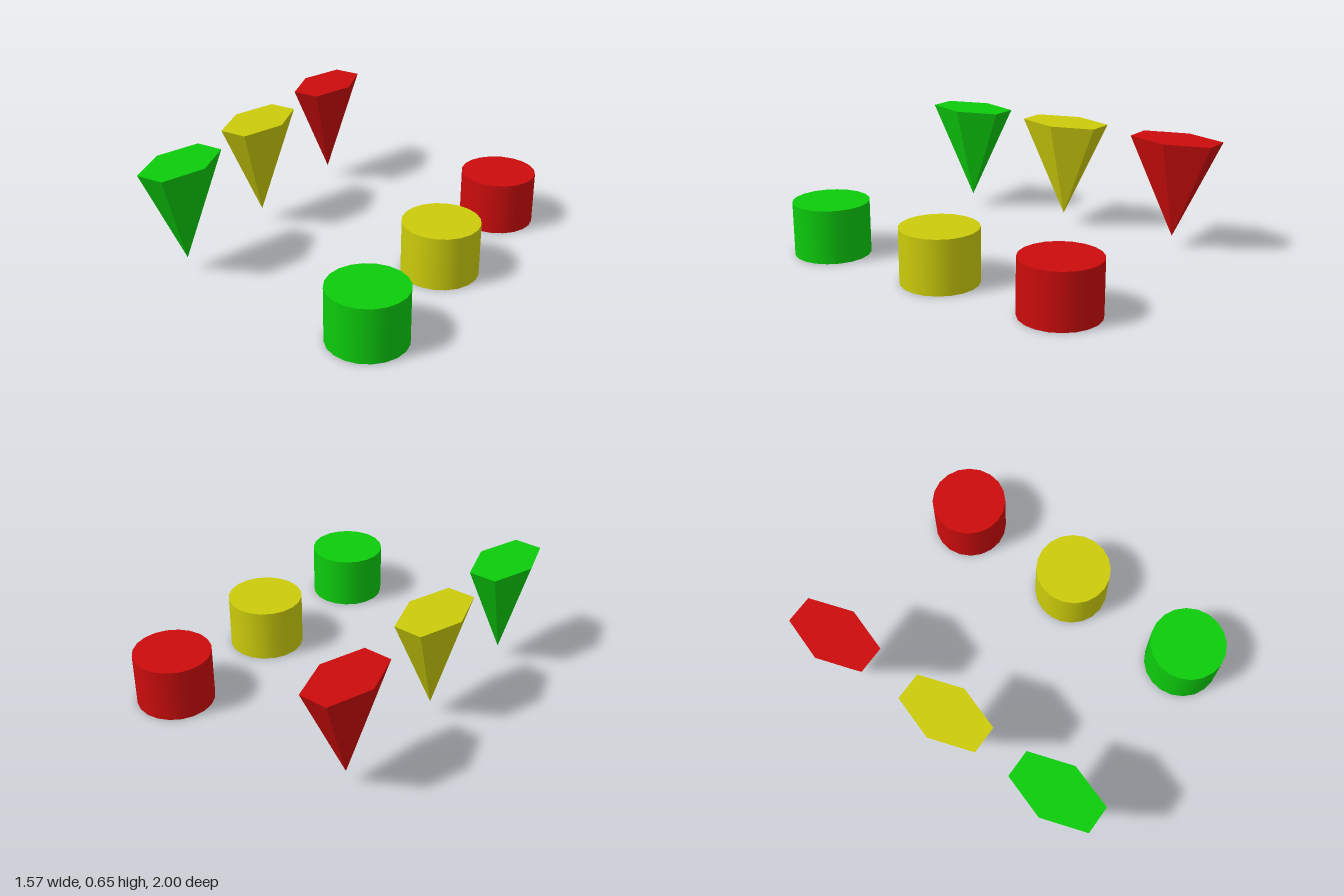
import * as THREE from 'three';

const COLORS = { green: 0x0ccc0c, yellow: 0xcccc0c, red: 0xcc0c0c };

// Upside-down pyramid with an elongated hexagonal top and its tip at the bottom
function hexPyramid() {
  const top = 0.648, tip = 0.075;
  // outline as [x, z]
  const ring = [[0.162, 0], [0.08, 0.248], [-0.08, 0.248], [-0.162, 0], [-0.08, -0.248], [0.08, -0.248]];
  const positions = [];
  ring.forEach(([x, z], i) => {
    const [nx, nz] = ring[(i + 1) % ring.length];
    positions.push(0, top, 0, nx, top, nz, x, top, z); // top face
    positions.push(0, tip, 0, x, top, z, nx, top, nz); // sloping side
  });
  const geometry = new THREE.BufferGeometry();
  geometry.setAttribute('position', new THREE.Float32BufferAttribute(positions, 3));
  geometry.computeVertexNormals();
  return geometry;
}

export function createModel() {
  const model = new THREE.Group();
  const pyramid = hexPyramid();
  const drum = new THREE.CylinderGeometry(0.217, 0.217, 0.306, 20);

  // One pyramid and one drum per colour, from front to back
  const rows = [
    { name: 'green', pyramidZ: 0.696, drumZ: 0.782 },
    { name: 'yellow', pyramidZ: -0.01, drumZ: -0.01 },
    { name: 'red', pyramidZ: -0.752, drumZ: -0.768 },
  ];
  for (const { name, pyramidZ, drumZ } of rows) {
    const material = new THREE.MeshStandardMaterial({ color: COLORS[name] });

    const pyramidMesh = new THREE.Mesh(pyramid, material);
    pyramidMesh.name = `${name}Pyramid`;
    pyramidMesh.position.set(-0.627, 0, pyramidZ);

    const drumMesh = new THREE.Mesh(drum, material);
    drumMesh.name = `${name}Cylinder`;
    drumMesh.position.set(0.567, 0.153, drumZ);

    model.add(pyramidMesh, drumMesh);
  }
  return model;
}
